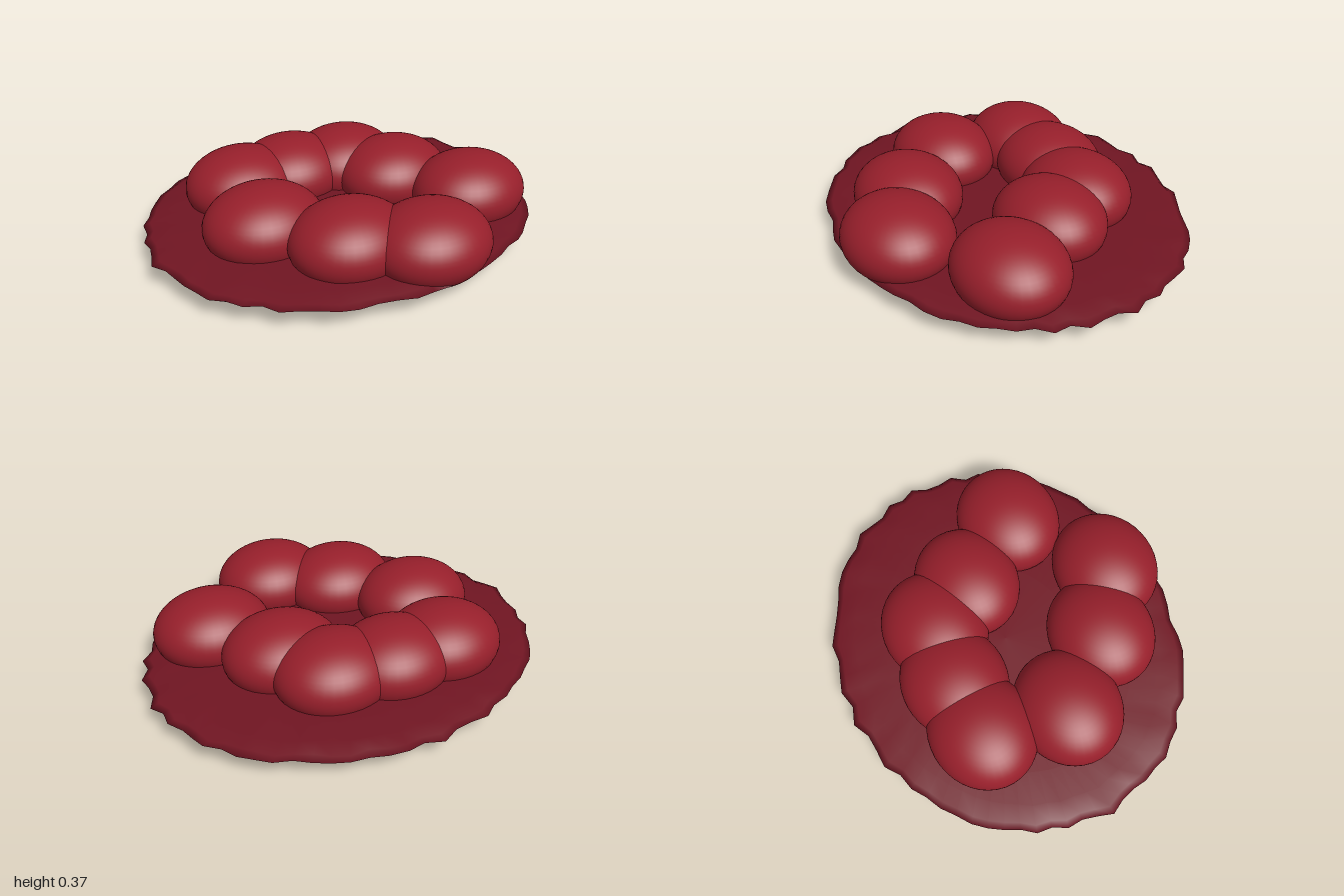
import * as THREE from 'three';

// Deterministic noise in 0..1
const noise = (i, j) => {
  const s = Math.sin(i * 127.1 + j * 311.7) * 43758.5453;
  return s - Math.floor(s);
};

// Thin lens-shaped base with a ragged rim
function makeBase(material) {
  const profile = [
    [0, 0.063], [0.4, 0.064], [0.7, 0.069], [0.86, 0.078], [0.95, 0.092], [0.985, 0.107],
    [0.95, 0.12], [0.86, 0.129], [0.7, 0.136], [0.4, 0.141], [0, 0.143],
  ].map(([r, y]) => new THREE.Vector2(r, y));
  const segments = 72;
  const geometry = new THREE.LatheGeometry(profile, segments);
  const p = geometry.attributes.position;
  for (let i = 0; i < p.count; i++) {
    const ring = i % profile.length;
    const spoke = Math.floor(i / profile.length) % segments;
    const x = p.getX(i), z = p.getZ(i);
    const edge = Math.pow(Math.hypot(x, z), 6);
    const ragged = 1 + edge * 0.045 * (noise(spoke, 1) - 0.5);
    const bump = edge * 0.016 * (noise(spoke, ring + 2) - 0.5);
    p.setXYZ(i, x * ragged, p.getY(i) + bump, z * ragged * 0.855 - 0.02);
  }
  geometry.computeVertexNormals();
  const base = new THREE.Mesh(geometry, material);
  base.name = 'base';
  return base;
}

export function createModel() {
  const model = new THREE.Group();
  model.name = 'clusterOnBase';
  const baseMaterial = new THREE.MeshStandardMaterial({ color: 0x701522, side: THREE.DoubleSide });
  const lobeMaterial = new THREE.MeshStandardMaterial({ color: 0x971f2b });
  model.add(makeBase(baseMaterial));

  // Horseshoe of flattened lobes, as [x, z] centres
  const centres = [
    [-0.36, -0.36], [-0.08, -0.355], [0.215, -0.302], [0.345, -0.045],
    [0.545, 0.315], [0.065, 0.605], [-0.225, 0.395], [-0.47, 0.05],
  ];
  const lobeGeometry = new THREE.SphereGeometry(1, 40, 28);
  lobeGeometry.scale(0.293, 0.187, 0.26);
  centres.forEach(([x, z], i) => {
    const lobe = new THREE.Mesh(lobeGeometry, lobeMaterial);
    lobe.name = `lobe${i + 1}`;
    lobe.position.set(x, 0.192, z);
    model.add(lobe);
  });

  // Rest the lowest point on the ground
  const lowest = new THREE.Box3().setFromObject(model).min.y;
  model.children.forEach((part) => { part.position.y -= lowest; });
  return model;
}
